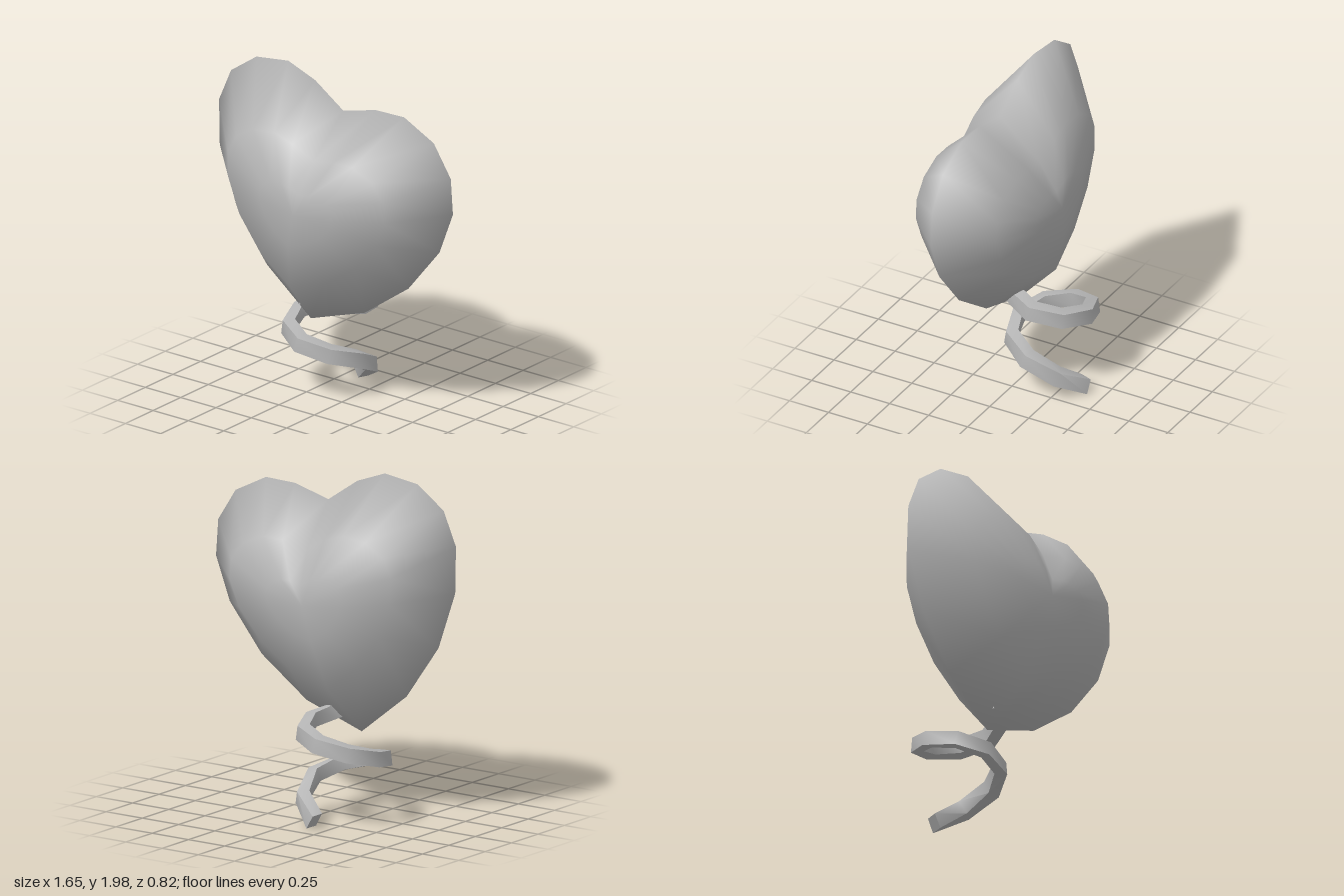
import * as THREE from 'three';
import { toCreasedNormals } from 'three/addons/utils/BufferGeometryUtils.js';

function buildGeometry(positions, index) {
  const g = new THREE.BufferGeometry();
  g.setAttribute('position', new THREE.Float32BufferAttribute(positions, 3));
  g.setIndex(index);
  g.computeVertexNormals();
  return g;
}

// Puffed heart: the rim outline shrinks in rings towards a front and a back centre
function heartGeometry() {
  const cx = -0.03, cy = 1.26, cz = 0.05;
  const rim = [
    [0.05, 1.795], [0.28, 1.855], [0.48, 1.86], [0.69, 1.755], [0.81, 1.57], [0.825, 1.36],
    [0.73, 1.11], [0.51, 0.84], [0.2, 0.62], [-0.18, 0.495], [-0.49, 0.74], [-0.71, 1.05],
    [-0.825, 1.38], [-0.83, 1.65], [-0.745, 1.845], [-0.565, 1.97], [-0.34, 2], [-0.15, 1.93],
  ];
  // [x scale, upper y scale, lower y scale, depth, extra dip under the notch]
  const rings = [
    [0.31, 0.22, 0.26, 0.342, 0.01], [0.67, 0.56, 0.63, 0.258, 0.02], [1, 1, 1, 0, 0],
    [0.67, 0.56, 0.63, -0.258, -0.02], [0.31, 0.22, 0.26, -0.342, -0.01],
  ];
  const n = rim.length, pos = [cx, cy, cz + 0.358], index = [];
  for (const [sx, up, down, depth, dip] of rings) {
    rim.forEach(([x, y], j) => {
      pos.push(cx + (x - cx) * sx, cy + (y - cy) * (y > cy ? up : down), cz + depth - (j === 0 ? dip : 0));
    });
  }
  pos.push(cx, cy, cz - 0.358);
  const last = n * rings.length + 1;
  const at = (k, j) => (k === 0 ? 0 : k > rings.length ? last : 1 + (k - 1) * n + (j % n));
  for (let k = 0; k <= rings.length; k++) {
    for (let j = 0; j < n; j++) {
      const a = at(k, j), b = at(k, j + 1), c = at(k + 1, j + 1), d = at(k + 1, j);
      if (a !== b) index.push(a, c, b);
      if (c !== d) index.push(a, d, c);
    }
  }
  // the outline runs clockwise, so turn every face outwards
  for (let i = 0; i < index.length; i += 3) [index[i + 1], index[i + 2]] = [index[i + 2], index[i + 1]];
  return buildGeometry(pos, index);
}

// Curled string: a four-sided section swept along a helix that steepens at its lower end
function stringGeometry() {
  const heights = [0.06, 0.25, 0.345, 0.42, 0.505, 0.57, 0.64];
  const path = new THREE.CatmullRomCurve3(heights.map((y, i) => new THREE.Vector3(i, y, 0)));
  const section = [[0.042, -0.045], [0.034, 0.04], [-0.035, 0.048], [-0.03, -0.038]];
  const steps = 12, pos = [], index = [];
  const point = (t) => {
    const phi = (-80 + t * 530) * Math.PI / 180;
    return new THREE.Vector3(-0.2 + 0.228 * Math.cos(phi), path.getPoint(t).y, -0.145 + 0.228 * Math.sin(phi));
  };
  for (let i = 0; i <= steps; i++) {
    const t = i / steps, p = point(t);
    const tangent = point(Math.min(1, t + 0.02)).sub(point(Math.max(0, t - 0.02))).normalize();
    const out = new THREE.Vector3(p.x + 0.2, 0, p.z + 0.145).normalize();
    const up = new THREE.Vector3().crossVectors(tangent, out).normalize();
    for (const [r, h] of section) {
      const v = p.clone().addScaledVector(out, r).addScaledVector(up, h);
      pos.push(v.x, Math.max(0, v.y), v.z);
    }
  }
  for (let i = 0; i < steps; i++) {
    for (let j = 0; j < 4; j++) {
      const a = i * 4 + j, b = i * 4 + (j + 1) % 4;
      index.push(a, b, b + 4, a, b + 4, a + 4);
    }
  }
  const e = steps * 4;
  index.push(0, 2, 1, 0, 3, 2, e, e + 1, e + 2, e, e + 2, e + 3);
  return toCreasedNormals(buildGeometry(pos, index), 0.95);
}

export function createModel() {
  const group = new THREE.Group();
  group.name = 'heartBalloon';
  const grey = new THREE.MeshStandardMaterial({ color: 0xb4b4b4 });
  grey.name = 'grey';
  const add = (name, geometry) => {
    const mesh = new THREE.Mesh(geometry, grey);
    mesh.name = name;
    group.add(mesh);
  };
  add('heart', heartGeometry());
  add('curledString', stringGeometry());
  return group;
}
